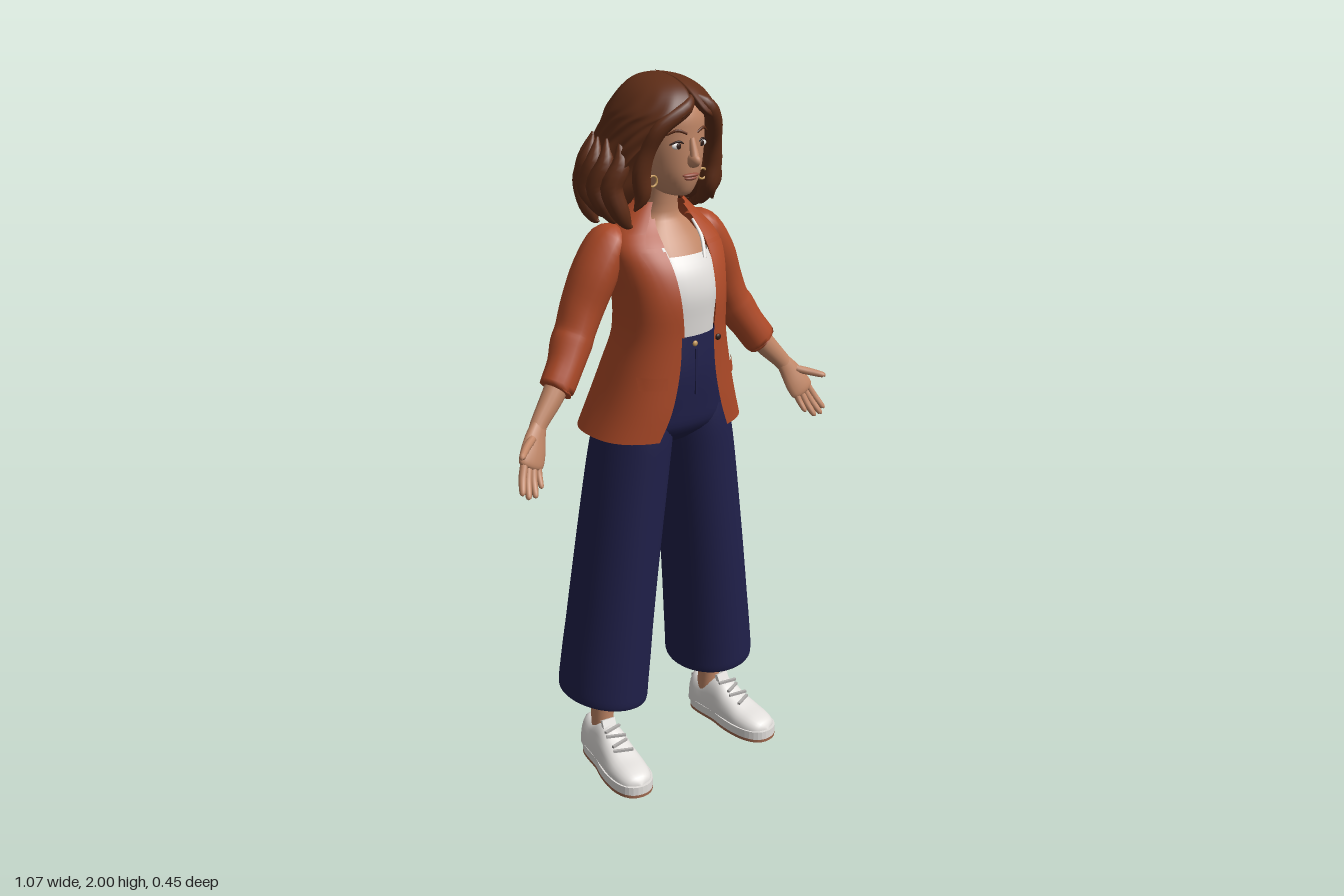
import * as THREE from 'three';

const mat = (name, color, double = false) => {
  const m = new THREE.MeshStandardMaterial({ color });
  m.name = name;
  if (double) m.side = THREE.DoubleSide;
  return m;
};

// Catmull-Rom resampling of rows of numbers
function smooth(rows, k = 4) {
  const at = i => rows[Math.min(rows.length - 1, Math.max(0, i))], out = [];
  for (let i = 0; i < rows.length - 1; i++) for (let s = 0; s < k; s++) {
    const t = s / k, [a, b, c, d] = [at(i - 1), at(i), at(i + 1), at(i + 2)];
    out.push(b.map((v, j) => 0.5 * (2 * v + (c[j] - a[j]) * t + (2 * a[j] - 5 * v + 4 * c[j] - d[j]) * t * t
      + (3 * v - a[j] - 3 * c[j] + d[j]) * t ** 3)));
  }
  out.push(rows[rows.length - 1]);
  return out;
}

// Skin a surface over rings holding equal numbers of points
function loft(rings, closed = true) {
  const n = rings[0].length, m = closed ? n : n - 1, index = [];
  for (let i = 0; i < rings.length - 1; i++) for (let j = 0; j < m; j++) {
    const a = i * n + j, b = i * n + (j + 1) % n;
    index.push(a, b, b + n, a, b + n, a + n);
  }
  const g = new THREE.BufferGeometry();
  g.setAttribute('position', new THREE.Float32BufferAttribute(rings.flat(2), 3));
  g.setIndex(index);
  g.computeVertexNormals();
  return g;
}

// Horizontal section [y, centre x, half width, front z, back z], open at the front by an angle
function section([y, cx, rx, zf, zb], p = 2, open = 0, n = 40) {
  const e = 2 / p, pw = v => Math.sign(v) * Math.abs(v) ** e, pts = [];
  const count = open > 0 ? n + 1 : n;
  for (let j = 0; j < count; j++) {
    const a = open + (2 * Math.PI - 2 * open) * j / n;
    pts.push([cx + rx * pw(Math.sin(a)), y, (zf + zb) / 2 + (zf - zb) / 2 * pw(Math.cos(a))]);
  }
  return pts;
}
const stack = (rows, p = 2, k = 4) => loft(smooth(rows, k).map(r => section(r, p)));

// Tapered limb along rows of [x, y, z, radius across, radius deep]
function limb(rows, k = 4, n = 16) {
  const path = smooth(rows, k), V = r => new THREE.Vector3(r[0], r[1], r[2]);
  return loft(path.map((r, i) => {
    const d = V(path[Math.min(i + 1, path.length - 1)]).sub(V(path[Math.max(i - 1, 0)])).normalize();
    const u = d.clone().cross(new THREE.Vector3(0, 0, 1)).normalize(), v = d.clone().cross(u);
    return Array.from({ length: n }, (_, j) => {
      const a = j / n * 2 * Math.PI;
      return V(r).addScaledVector(u, r[3] * Math.cos(a)).addScaledVector(v, r[4] * Math.sin(a)).toArray();
    });
  }));
}

export function createModel() {
  const model = new THREE.Group();
  const skin = mat('skin', 0xc08666), hairM = mat('chestnut hair', 0x5e2d17, true), jacketM = mat('rust cloth', 0xac4927, true);
  const navy = mat('navy cloth', 0x20204a, true), white = mat('white', 0xe2dfdc, true), grey = mat('grey trim', 0xb3b0ae);
  const soleM = mat('tan sole', 0xa06a50), lipM = mat('lips', 0x96503f), dark = mat('dark brown', 0x2e1a14), gold = mat('gold', 0xc79a5a);
  const add = (parent, name, geo, m, pos, scale) => {
    const mesh = new THREE.Mesh(geo, m);
    mesh.name = name;
    if (pos) mesh.position.set(...pos);
    if (scale) mesh.scale.set(...scale);
    parent.add(mesh);
    return mesh;
  };
  const ball = new THREE.SphereGeometry(1, 20, 14);

  // Head, neck and upper chest
  add(model, 'head', stack([[1.69, 0, .002, .07, .06], [1.695, 0, .032, .09, 0], [1.715, 0, .052, .103, -.05], [1.75, 0, .072, .112, -.08],
    [1.8, 0, .085, .115, -.1], [1.85, 0, .09, .115, -.11], [1.9, 0, .086, .112, -.1], [1.94, 0, .065, .085, -.08], [1.96, 0, .002, 0, -.01]], 2.1), skin);
  add(model, 'neckAndChest', stack([[1.42, 0, .11, .11, -.09], [1.5, 0, .115, .105, -.1], [1.55, 0, .115, .08, -.1], [1.6, 0, .085, .045, -.1],
    [1.64, 0, .048, .025, -.075], [1.74, 0, .046, .035, -.06]], 2.2), skin);
  add(model, 'nose', ball, skin, [0, 1.79, .115], [.015, .02, .03]);
  add(model, 'noseBridge', limb([[0, 1.845, .112, .008, .008], [0, 1.8, .126, .012, .012]]), skin);
  add(model, 'upperLip', ball, lipM, [0, 1.75, .11], [.026, .006, .01]);
  add(model, 'lowerLip', ball, lipM, [0, 1.742, .109], [.02, .006, .01]);

  // Jacket rows: y, centre, half width, front, back, half opening
  const jacketRows = smooth([[1.04, 0, .238, .145, -.198, .118], [1.12, 0, .208, .15, -.18, .085], [1.22, 0, .178, .15, -.148, .062],
    [1.32, 0, .155, .15, -.115, .055], [1.42, 0, .155, .15, -.113, .062], [1.5, 0, .165, .128, -.125, .068], [1.56, 0, .168, .09, -.127, .074],
    [1.61, 0, .135, .045, -.115, .07], [1.65, 0, .08, .02, -.095, .055]]);
  const P = 2.5;
  add(model, 'jacketBody', loft(jacketRows.map(r => section(r, P, Math.asin((r[5] / r[2]) ** (P / 2)))), false), jacketM);
  add(model, 'collar', loft(smooth([[1.595, 0, .148, .062, -.128], [1.635, 0, .108, .038, -.118], [1.668, 0, .075, .02, -.1]])
    .map(r => section(r, P, .62)), false), jacketM);
  const rowAt = y => {
    const i = Math.max(1, jacketRows.findIndex(r => r[0] >= y)), a = jacketRows[i - 1], b = jacketRows[i];
    return a.map((v, j) => v + (b[j] - v) * (y - a[0]) / (b[0] - a[0]));
  };
  // Thin piece of cloth lying on the jacket front
  const patch = (y0, y1, inner, outer, lift) => loft(Array.from({ length: 13 }, (_, i) => {
    const y = y0 + (y1 - y0) * i / 12, r = rowAt(y), xi = inner(i / 12, r), xo = outer(i / 12, r);
    return Array.from({ length: 7 }, (_, j) => {
      const x = xi + (xo - xi) * j / 6;
      return [x, y, (r[3] + r[4]) / 2 + (r[3] - r[4]) / 2 * Math.max(0, 1 - (x / r[2]) ** P) ** (1 / P) + lift];
    });
  }), false);

  // Camisole with straps
  add(model, 'camisole', stack([[1.29, 0, .118, .125, -.09], [1.36, 0, .12, .132, -.09], [1.43, 0, .125, .138, -.095], [1.49, 0, .122, .125, -.1],
    [1.535, 0, .117, .098, -.1]], 2.3), white);

  // Trousers
  add(model, 'trouserHips', stack([[1.0, 0, .1, .06, -.08], [1.05, 0, .188, .115, -.142], [1.12, 0, .182, .128, -.145], [1.22, 0, .152, .135, -.125],
    [1.32, 0, .125, .128, -.095]], 2.3), navy);
  add(model, 'waistButton', ball, gold, [0, 1.3, .134], [.008, .008, .005]);
  add(model, 'fly', new THREE.BoxGeometry(.006, .13, .006), navy, [.004, 1.22, .134]);

  for (const [side, sx] of [['left', 1], ['right', -1]]) {
    const half = new THREE.Group();
    half.name = side + 'Side';
    half.scale.x = sx;
    model.add(half);

    // Face details
    add(half, 'eyeWhite', ball, white, [.038, 1.828, .102], [.018, .009, .006]);
    add(half, 'iris', ball, dark, [.037, 1.828, .107], [.008, .008, .003]);
    add(half, 'eyelashes', limb([[.018, 1.83, .109, .002, .002], [.038, 1.84, .108, .003, .003], [.06, 1.832, .097, .002, .002]]), dark);
    add(half, 'eyebrow', limb([[.016, 1.858, .113, .003, .003], [.042, 1.868, .107, .004, .003], [.066, 1.856, .091, .002, .002]]), hairM);
    add(half, 'earring', new THREE.TorusGeometry(.014, .003, 8, 20), gold, [.082, 1.735, .055]);

    // Lapel, strap, pocket and button
    add(half, 'lapel', patch(1.33, 1.555, (t, r) => r[5] - .002, (t, r) => r[5] + .004 + .06 * t ** .8, .009), jacketM);
    add(half, 'upperLapel', patch(1.565, 1.63, (t, r) => r[5] - .004, (t, r) => r[5] + .048 - .04 * t, .01), jacketM);
    add(half, 'pocketFlap', patch(1.19, 1.225, () => .1, () => .163, .009), jacketM);
    add(half, 'camisoleStrap', limb([[.058, 1.52, .1, .006, .004], [.07, 1.57, .07, .006, .004], [.072, 1.61, .03, .006, .004]]), white);

    // Arm and sleeve
    add(half, 'sleeve', limb([[.115, 1.595, -.045, .01, .02], [.15, 1.575, -.045, .046, .062], [.195, 1.5, -.045, .06, .07], [.235, 1.41, -.05, .059, .064],
      [.265, 1.345, -.045, .053, .06], [.285, 1.31, -.038, .056, .058], [.315, 1.262, -.022, .05, .05], [.354, 1.207, -.008, .049, .045], [.348, 1.215, -.01, .036, .034]]), jacketM);
    add(half, 'forearm', limb([[.32, 1.255, -.02, .035, .032], [.37, 1.19, -.004, .032, .029], [.425, 1.13, .012, .025, .021], [.44, 1.105, .02, .024, .02]]), skin);
    add(half, 'palm', limb([[.42, 1.14, .012, .02, .016], [.445, 1.1, .025, .032, .018], [.465, 1.06, .04, .04, .018], [.478, 1.035, .05, .036, .014],
      [.482, 1.028, .052, .002, .002]]), skin);
    const finger = (name, a, b, r) => add(half, name, limb([[...a, r, r], [...a.map((v, i) => (v + b[i]) / 2 + (i === 2 ? -.004 : 0)), r, r],
      [...b, r * .75, r * .75], [b[0] + .001, b[1] - .005, b[2] + .002, .001, .001]], 4, 10), skin);
    finger('thumb', [.46, 1.105, .035], [.524, 1.085, .085], .011);
    finger('indexFinger', [.498, 1.045, .05], [.527, .985, .085], .0105);
    finger('middleFinger', [.485, 1.035, .05], [.512, .972, .09], .0105);
    finger('ringFinger', [.47, 1.032, .05], [.49, .97, .088], .0105);
    finger('littleFinger', [.452, 1.038, .046], [.464, .985, .076], .009);

    // Wide trouser leg with a slanted, turned hem
    const leg = stack([[.25, .198, .1, .08, -.165], [.222, .199, .114, .097, -.178], [.23, .199, .12, .106, -.187], [.3, .193, .119, .108, -.184],
      [.6, .16, .112, .112, -.168], [.9, .122, .107, .115, -.152], [1.03, .104, .1, .117, -.144], [1.1, .095, .09, .11, -.13]], 2.05);
    const lp = leg.attributes.position;
    for (let i = 0; i < lp.count; i++) if (lp.getY(i) < .4) lp.setY(i, lp.getY(i) + (lp.getX(i) - .2) * .12);
    leg.computeVertexNormals();
    add(half, 'trouserLeg', leg, navy);
    add(half, 'ankle', stack([[.08, .203, .032, -.005, -.075], [.15, .203, .033, -.003, -.075], [.24, .198, .04, .003, -.083], [.45, .18, .048, .01, -.09]]), skin);

    // Sneaker: upper lofted from heel to toe, laces and layered sole
    const shoe = new THREE.Group();
    shoe.name = 'sneaker';
    shoe.position.set(.215, 0, 0);
    shoe.rotation.y = .12;
    half.add(shoe);
    const upperRows = smooth([[-.104, .002, .06], [-.102, .03, .105], [-.085, .043, .122], [-.045, .047, .115], [-.005, .049, .13], [.03, .052, .128],
      [.07, .056, .103], [.12, .059, .08], [.165, .053, .068], [.195, .036, .055], [.208, .002, .035]]);
    add(shoe, 'shoeUpper', loft(upperRows.map(([z, w, top]) => Array.from({ length: 24 }, (_, j) => {
      const a = j / 24 * 2 * Math.PI, c = Math.cos(a), s = Math.sin(a);
      return [w * Math.sign(c) * Math.abs(c) ** .8, s > 0 ? .03 + (top - .03) * s ** .9 : .03 + .015 * s, z];
    }))), white);
    add(shoe, 'tongue', new THREE.BoxGeometry(.042, .045, .012), white, [0, .125, .015]).rotation.x = -.45;
    for (let i = 0; i < 4; i++) add(shoe, 'lace', new THREE.BoxGeometry(.058, .007, .008), grey, [0, .128 - i * .012, .035 + i * .022]).rotation.y = i % 2 ? .3 : -.3;
    add(shoe, 'heelTab', new THREE.BoxGeometry(.03, .05, .008), grey, [0, .08, -.102]);
    const outline = new THREE.Shape();
    outline.moveTo(0, -.107);
    outline.bezierCurveTo(.062, -.107, .045, -.02, .052, .03);
    outline.bezierCurveTo(.07, .1, .075, .215, 0, .215);
    outline.bezierCurveTo(-.075, .215, -.07, .1, -.052, .03);
    outline.bezierCurveTo(-.045, -.02, -.062, -.107, 0, -.107);
    const sole = (name, y, depth, m) => {
      const g = new THREE.ExtrudeGeometry(outline, { depth, bevelEnabled: false, curveSegments: 14 }).rotateX(Math.PI / 2);
      add(shoe, name, g, m, [0, y + depth, 0]);
    };
    sole('midsole', .009, .026, white);
    sole('outsole', 0, .009, soleM);
  }
  add(model, 'jacketButton', ball, dark, [.066, 1.31, .15], [.009, .009, .005]);

  // Wavy bob: y, centre x, half width, front, back, opening in degrees
  const hairRows = smooth([[1.69, -.01, .06, 0, -.1, 70], [1.65, -.01, .125, .02, -.175, 68], [1.665, -.012, .16, .05, -.197, 65], [1.71, -.014, .185, .08, -.205, 60],
    [1.77, -.01, .174, .1, -.205, 57], [1.83, -.002, .158, .125, -.197, 49], [1.88, 0, .144, .138, -.183, 33], [1.915, 0, .13, .135, -.165, 10],
    [1.96, 0, .098, .1, -.13, 1], [1.988, 0, .056, .045, -.09, 1], [2, 0, .001, -.025, -.03, 1]], 5);
  add(model, 'hair', loft(hairRows.map(r => {
    const pts = section(r, 2.1, Math.max(.5, r[5]) * Math.PI / 180, 96), cz = (r[3] + r[4]) / 2;
    const grow = THREE.MathUtils.clamp((1.98 - r[0]) / .25, 0, 1);
    const wavy = pts.map(([x, y, z], j) => {
      const a = j / 96 * 2 * Math.PI;
      const k = 1 + grow * (.035 * Math.sin(9 * a + 26 * y) + .025 * Math.sin(17 * a - 34 * y) + .015 * Math.sin(5 * a + 60 * y));
      return [r[1] + (x - r[1]) * k, y + grow * grow * .01 * Math.sin(13 * a), cz + (z - cz) * k];
    });
    // inner return from the hair edge to the cheek
    const tuck = ([x, y, z]) => [Math.sign(x) * Math.min(Math.abs(x) * .9, .08), y, z - .02];
    return [tuck(wavy[0]), ...wavy, tuck(wavy[96])];
  }), false), hairM);
  // Curled locks around the lower edge
  for (let i = 0; i < 15; i++) {
    const a = (62 + 236 * i / 14) * Math.PI / 180, s = Math.sin(a), c = Math.cos(a), d = i % 3 * .012;
    const at = (y, k, w, r) => [-.012 + .17 * k * Math.sin(a + w), y, -.06 + .142 * k * Math.cos(a + w), r, r];
    add(model, 'lock', limb([at(1.84, .9, 0, .004), at(1.78, 1, .08, .024), at(1.72, 1.06, -.06, .03), at(1.68 - d, 1.0, .06, .026),
      at(1.645 - d, .92, .16, .013), at(1.64 - d, .87, .24, .002)], 4, 10), hairM);
  }
  // Swept fringe on both sides of the parting
  for (const s of [1, -1]) add(model, 'fringe', limb([[.015, 1.955, .09, .004, .004], [.015 + s * .035, 1.925, .118, .018, .014], [s * .085, 1.88, .1, .022, .018],
    [s * .108, 1.82, .07, .022, .02], [s * .118, 1.76, .055, .026, .022], [s * .112, 1.7, .05, .022, .02], [s * .13, 1.66, .04, .003, .003]]), hairM);
  return model;
}
